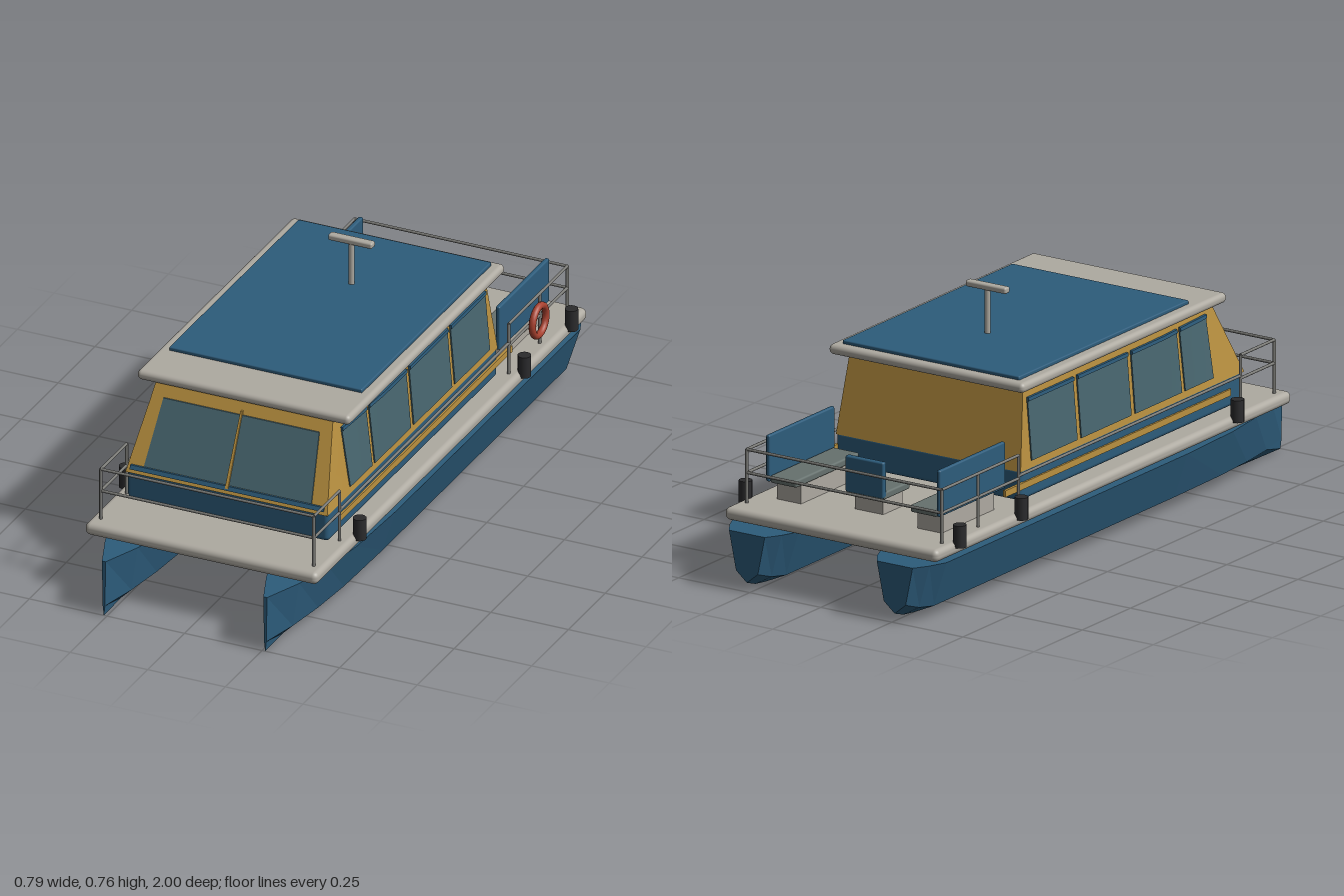
import * as THREE from 'three';
import { RoundedBoxGeometry } from 'three/addons/geometries/RoundedBoxGeometry.js';

const mat = (name, color) => {
  const m = new THREE.MeshStandardMaterial({ color });
  m.name = name;
  return m;
};

export function createModel() {
  const blue = mat('hull blue', 0x2d5c7b);
  const grey = mat('warm grey', 0xaeaaa1);
  const ochre = mat('ochre', 0xba9140);
  const glass = mat('glass', 0x48666f);
  const steel = mat('rail steel', 0x7a7a76);
  const cushionGrey = mat('cushion grey', 0x66716e);
  const black = mat('fender black', 0x2b2b2d);
  const red = mat('lifebuoy red', 0xa8412f);

  const boat = new THREE.Group();
  boat.name = 'catamaranCruiser';

  const add = (name, geo, material, x = 0, y = 0, z = 0, parent = boat) => {
    const m = new THREE.Mesh(geo, material);
    m.name = name;
    m.position.set(x, y, z);
    parent.add(m);
    return m;
  };
  // Box given by its limits, optionally with rounded edges
  const block = (name, material, [x0, x1], [y0, y1], [z0, z1], r = 0, parent = boat) => {
    const s = [x1 - x0, y1 - y0, z1 - z0];
    const geo = r ? new RoundedBoxGeometry(...s, 3, r) : new THREE.BoxGeometry(...s);
    return add(name, geo, material, (x0 + x1) / 2, (y0 + y1) / 2, (z0 + z1) / 2, parent);
  };
  // Round bar between two points
  const rod = (name, a, b, r = 0.004, material = steel, parent = boat) => {
    const p = new THREE.Vector3(...a), q = new THREE.Vector3(...b);
    const d = q.clone().sub(p);
    const m = add(name, new THREE.CylinderGeometry(r, r, d.length(), 10), material, 0, 0, 0, parent);
    m.position.copy(p).add(q).multiplyScalar(0.5);
    m.quaternion.setFromUnitVectors(new THREE.Vector3(0, 1, 0), d.normalize());
    return m;
  };
  // Move every vertex of a geometry by a rule
  const warp = (geo, rule) => {
    const p = geo.attributes.position, v = new THREE.Vector3();
    for (let i = 0; i < p.count; i++) {
      rule(v.fromBufferAttribute(p, i));
      p.setXYZ(i, v.x, v.y, v.z);
    }
    geo.computeVertexNormals();
    return geo;
  };

  // Hulls: faceted V sections lofted from stern to bow; [z, half width, keel height]
  const stations = [[-1, 0.063, 0.03], [-0.955, 0.092, 0.015], [-0.9, 0.115, 0.008], [0.35, 0.115, 0.008],
    [0.6, 0.105, 0.007], [0.75, 0.085, 0.006], [0.88, 0.053, 0.004], [1, 0.006, 0.002]];
  const hullGeometry = () => {
    const pos = [], idx = [];
    for (const [z, w, keel] of stations) {
      const chine = keel + 0.032;
      pos.push(-w, 0.18, z, -w * 0.61, chine, z, 0, keel, z, w * 0.61, chine, z, w, 0.18, z);
    }
    for (let s = 0; s < stations.length - 1; s++) {
      for (let k = 0; k < 5; k++) {
        const a = s * 5 + k, b = s * 5 + (k + 1) % 5;
        idx.push(a, b, b + 5, a, b + 5, a + 5);
      }
    }
    const e = (stations.length - 1) * 5;
    for (let k = 1; k < 4; k++) idx.push(0, k + 1, k, e, e + k, e + k + 1);
    const g = new THREE.BufferGeometry();
    g.setAttribute('position', new THREE.Float32BufferAttribute(pos, 3));
    g.setIndex(idx);
    const flat = g.toNonIndexed();
    flat.computeVertexNormals();
    return flat;
  };
  for (const s of [-1, 1]) add(s > 0 ? 'leftHull' : 'rightHull', hullGeometry(), blue, s * 0.26);

  // Deck and lower cabin
  block('deck', grey, [-0.375, 0.375], [0.189, 0.228], [-0.952, 0.893], 0.017);
  block('lowerCabin', blue, [-0.325, 0.325], [0.235, 0.335], [-0.443, 0.708], 0.014);

  // Upper cabin: leaning walls described by height and length
  const Y0 = 0.325, Y1 = 0.575;
  const lift = (y) => (y - Y0) / (Y1 - Y0);
  const frontZ = (y) => 0.716 - 0.125 * lift(y);
  const rearZ = (y) => -0.443 + 0.043 * lift(y);
  const sideX = (y, z) => {
    const top = 0.304 - 0.02 * THREE.MathUtils.clamp((z - 0.3) / 0.3, 0, 1);
    return THREE.MathUtils.lerp(0.325, top, lift(y));
  };
  add('upperCabin', warp(new THREE.BoxGeometry(1, 1, 1, 1, 4, 12), (v) => {
    const side = Math.sign(v.x);
    v.y = THREE.MathUtils.lerp(Y0, Y1, v.y + 0.5);
    v.z = THREE.MathUtils.lerp(rearZ(v.y), frontZ(v.y), v.z + 0.5);
    v.x = side * sideX(v.y, v.z);
  }), ochre);

  // Windscreen with its centre bar and sill
  const frontPlate = (name, material, y0, y1, wBottom, wTop, out) =>
    add(name, warp(new THREE.BoxGeometry(2, 1, 0.008), (v) => {
      const t = v.y + 0.5;
      v.y = THREE.MathUtils.lerp(y0, y1, t);
      v.x *= THREE.MathUtils.lerp(wBottom, wTop, t);
      v.z += frontZ(v.y) + out;
    }), material);
  frontPlate('windscreen', glass, 0.35, 0.536, 0.27, 0.251, 0);
  frontPlate('windscreenBar', ochre, 0.342, 0.548, 0.005, 0.003, 0.005);
  frontPlate('windscreenSill', blue, 0.336, 0.348, 0.312, 0.312, 0.002);

  // Side windows, hoods and waist stripes
  const windows = [[0.41, 0.558], [0.15, 0.393], [-0.13, 0.13], [-0.387, -0.15]];
  for (const s of [-1, 1]) {
    const sidePlate = (name, material, [y0, y1], [z0, z1], thick) =>
      add(name, warp(new THREE.BoxGeometry(thick, y1 - y0, z1 - z0, 1, 4, 6), (v) => {
        v.y += (y0 + y1) / 2;
        v.z += (z0 + z1) / 2;
        v.x += s * sideX(v.y, v.z);
      }), material);
    for (const w of windows) {
      sidePlate('sideWindow', glass, [0.347, 0.53], w, 0.008);
      sidePlate('windowHood', blue, [0.526, 0.537], w, 0.016);
    }
    block('waistStripe', ochre, s > 0 ? [0.322, 0.331] : [-0.331, -0.322], [0.273, 0.293], [-0.53, 0.64]);
  }

  // Roof, roof panel and mast
  block('roof', grey, [-0.343, 0.343], [0.57, 0.601], [-0.458, 0.604], 0.014);
  block('roofPanel', blue, [-0.311, 0.311], [0.598, 0.612], [-0.43, 0.45], 0.004);
  rod('mast', [0, 0.6, -0.135], [0, 0.748, -0.135], 0.009, grey);
  block('mastBar', grey, [-0.071, 0.071], [0.744, 0.763], [-0.148, -0.122], 0.006);

  // Railings
  const rails = new THREE.Group();
  rails.name = 'railings';
  boat.add(rails);
  const X = 0.343, TOP = 0.391, MID = 0.32, BOW = 0.845, STERN = -0.878;
  const rail = (a, b) => rod('rail', a, b, 0.0045, steel, rails);
  for (const s of [-X, X]) {
    for (const z of [BOW, 0.67, -0.48, -0.69, STERN]) {
      rod('railPost', [s, 0.22, z], [s, TOP, z], 0.005, steel, rails);
    }
    for (const y of [TOP, MID]) {
      rail([s, y, BOW], [s, y, 0.67]);
      rail([s, y, -0.48], [s, y, STERN]);
    }
    rail([s, 0.328, 0.67], [s, 0.328, -0.48]);
  }
  for (const z of [BOW, STERN]) for (const y of [TOP, MID]) rail([-X, y, z], [X, y, z]);

  // Aft benches along both sides
  for (const s of [-1, 1]) {
    const span = (a, b) => (s > 0 ? [a, b] : [-b, -a]);
    const bench = new THREE.Group();
    bench.name = s > 0 ? 'leftBench' : 'rightBench';
    boat.add(bench);
    block('benchBase', grey, span(0.205, 0.29), [0.226, 0.287], [-0.8, -0.53], 0, bench);
    block('benchCushion', cushionGrey, span(0.2, 0.293), [0.285, 0.308], [-0.832, -0.505], 0.006, bench);
    block('benchBack', blue, span(0.293, 0.307), [0.288, 0.43], [-0.834, -0.495], 0.005, bench);
  }

  // Centre seat, facing forward
  const seat = new THREE.Group();
  seat.name = 'centreSeat';
  boat.add(seat);
  block('seatBase', grey, [-0.05, 0.05], [0.226, 0.282], [-0.75, -0.65], 0, seat);
  block('seatCushion', cushionGrey, [-0.067, 0.067], [0.28, 0.303], [-0.772, -0.635], 0.006, seat);
  block('seatBack', blue, [-0.067, 0.067], [0.285, 0.395], [-0.776, -0.757], 0.005, seat);

  // Fenders and lifebuoy
  for (const s of [-1, 1]) for (const z of [0.605, -0.515, -0.835]) {
    add('fender', new THREE.CylinderGeometry(0.02, 0.02, 0.068, 14), black, s * 0.377, 0.246, z);
  }
  add('lifebuoy', new THREE.TorusGeometry(0.046, 0.011, 10, 28), red, 0.354, 0.317, -0.663).rotation.y = Math.PI / 2;

  return boat;
}
